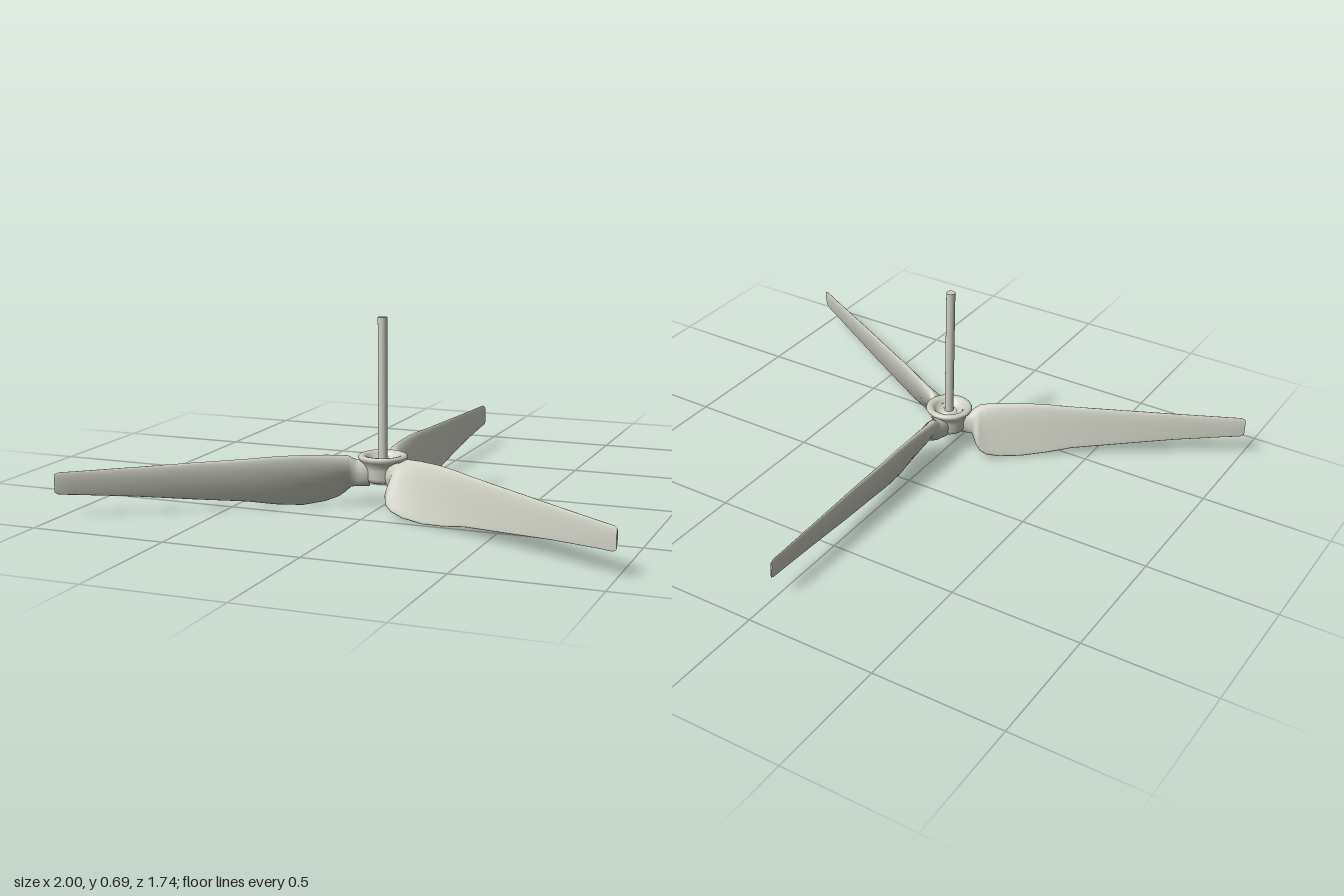
import * as THREE from 'three';

const HUB_Z = 0.289;

// Blade stations: radius, leading edge x/y, trailing edge x/y, thickness, camber
const STATIONS = [
  [0.05, 0, 0.172, 0.0, 0.075, 0.07, 0],
  [0.092, -0.004, 0.172, 0.015, 0.075, 0.066, 0],
  [0.108, -0.015, 0.178, 0.075, 0.06, 0.056, 0.004],
  [0.125, -0.015, 0.19, 0.086, 0.038, 0.046, 0.008],
  [0.15, -0.015, 0.193, 0.084, 0.021, 0.041, 0.01],
  [0.2, -0.015, 0.197, 0.074, 0.007, 0.036, 0.01],
  [0.285, -0.014, 0.2, 0.055, 0, 0.03, 0.008],
  [0.385, -0.012, 0.198, 0.042, 0.01, 0.026, 0.007],
  [0.485, -0.01, 0.192, 0.031, 0.027, 0.023, 0.005],
  [0.685, -0.006, 0.184, 0.02, 0.046, 0.018, 0.003],
  [0.885, -0.004, 0.175, 0.012, 0.066, 0.014, 0.002],
  [1.085, -0.002, 0.167, 0.006, 0.081, 0.01, 0],
  [1.14, -0.001, 0.165, 0.005, 0.084, 0.009, 0],
  [1.155, 0, 0.157, 0.004, 0.092, 0.006, 0],
];

// Lofts airfoil sections along -z, from a round shank to a thin tip
function bladeGeometry(sides = 28) {
  const pos = [], index = [];
  STATIONS.forEach(([r, lx, ly, tx, ty, thick, camber], i) => {
    const dx = tx - lx, dy = ty - ly, len = Math.hypot(dx, dy);
    const nx = dy / len, ny = -dx / len;
    const taper = Math.min(0.45, i * 0.12);
    for (let j = 0; j < sides; j++) {
      const t = (j / sides) * Math.PI * 2;
      const s = (1 - Math.cos(t)) / 2;
      const off = (thick / 2) * Math.sin(t) * (1 + taper * Math.cos(t)) + camber * 4 * s * (1 - s);
      pos.push(lx + dx * s + nx * off, ly + dy * s + ny * off, -r);
      if (i < STATIONS.length - 1) {
        const a = i * sides + j, b = i * sides + ((j + 1) % sides);
        index.push(a, a + sides, b, b, a + sides, b + sides);
      }
    }
  });
  // Tip cap with its own vertices, so its edge stays sharp
  const last = (STATIONS.length - 1) * sides, cap = pos.length / 3;
  pos.push(...pos.slice(last * 3));
  for (let j = 1; j < sides - 1; j++) index.push(cap, cap + j + 1, cap + j);
  const g = new THREE.BufferGeometry();
  g.setAttribute('position', new THREE.Float32BufferAttribute(pos, 3));
  g.setIndex(index);
  g.computeVertexNormals();
  return g;
}

export function createModel() {
  const group = new THREE.Group();
  const metal = new THREE.MeshStandardMaterial({ color: 0xcdcfc2 });
  metal.name = 'pale grey';

  const add = (name, geometry) => {
    const mesh = new THREE.Mesh(geometry, metal);
    mesh.name = name;
    mesh.position.z = HUB_Z;
    group.add(mesh);
    return mesh;
  };

  // Hub: waisted body with a rounded rim and a dished top around a small collar
  const profile = [
    [0, 0.09], [0.05, 0.09], [0.062, 0.095], [0.067, 0.11], [0.068, 0.14], [0.073, 0.158],
    [0.085, 0.172], [0.09, 0.181], [0.087, 0.188], [0.078, 0.191], [0.066, 0.189],
    [0.058, 0.181], [0.05, 0.168], [0.036, 0.162], [0.03, 0.166], [0.026, 0.172], [0, 0.172],
  ].map(([x, y]) => new THREE.Vector2(x, y));
  add('hub', new THREE.LatheGeometry(profile, 48));

  // Drive shaft rising from the hub
  const shaft = add('shaft', new THREE.CylinderGeometry(0.017, 0.017, 0.595, 24));
  shaft.position.y = 0.3875;

  // Three equal blades around the hub
  const blade = bladeGeometry();
  for (let k = 0; k < 3; k++) {
    add('blade' + (k + 1), blade).rotation.y = (-k * Math.PI * 2) / 3;
  }
  return group;
}
